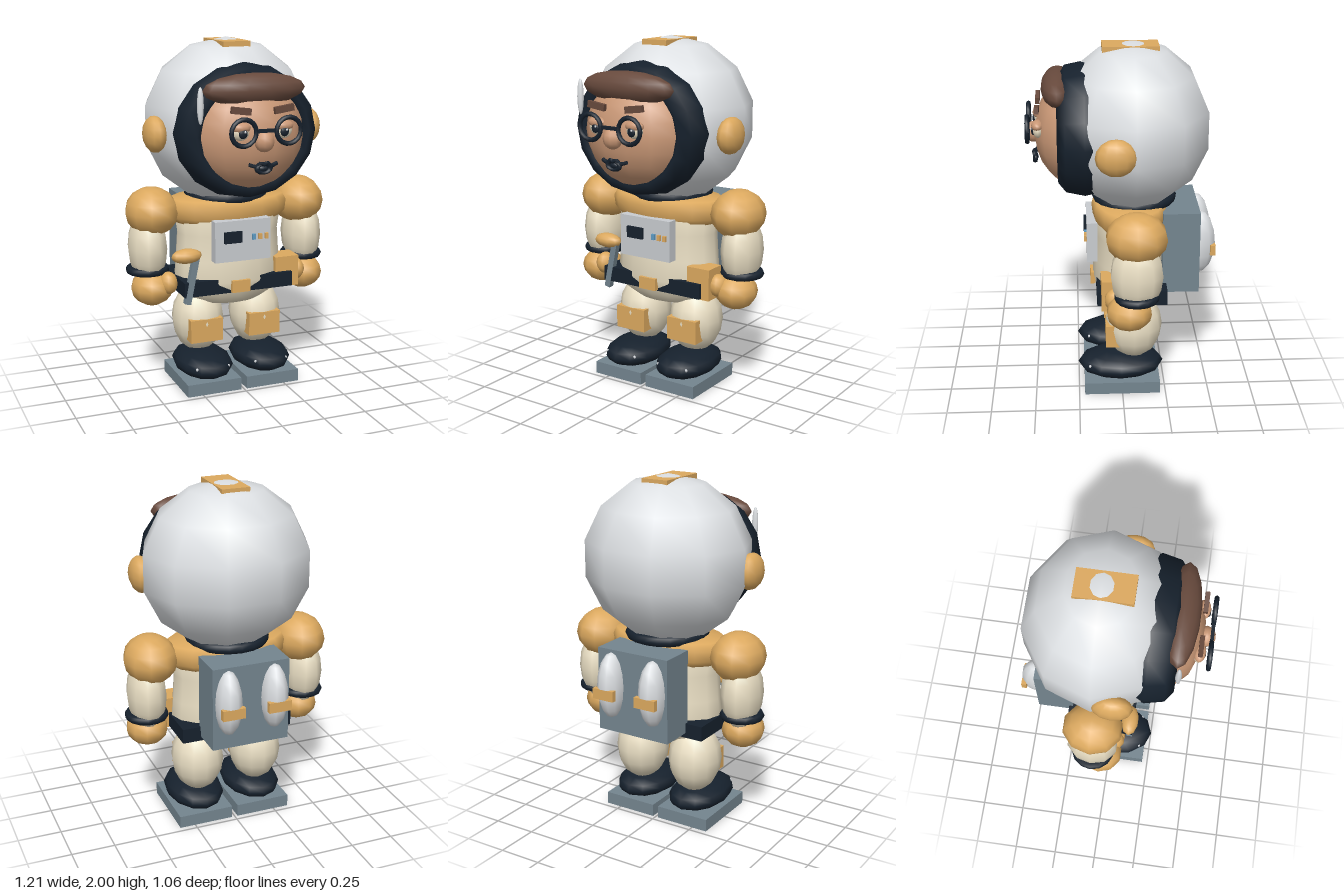
import * as THREE from 'three';

const COLORS = {
  white: 0xdcdfe2, gold: 0xdca95f, cream: 0xeadfc4, dark: 0x16212d,
  steel: 0x74858f, skin: 0xcb9977, brown: 0x684a3d, blue: 0x5f9cc4, panel: 0xc9ccd0,
};
const mats = {};
const mat = (c) => (mats[c] ??= new THREE.MeshStandardMaterial({ color: COLORS[c], side: THREE.DoubleSide }));

export function createModel() {
  const root = new THREE.Group();
  root.name = 'astronaut';

  const add = (name, geo, color, pos, scale = [1, 1, 1], rot = [0, 0, 0]) => {
    const m = new THREE.Mesh(geo, mat(color));
    m.name = name;
    m.position.set(...pos);
    m.scale.set(...scale);
    m.rotation.set(...rot);
    root.add(m);
    return m;
  };
  const ball = (name, color, pos, radii, w = 10, h = 8, rot) =>
    add(name, new THREE.SphereGeometry(1, w, h), color, pos, radii, rot);
  const box = (name, color, pos, size, rot) =>
    add(name, new THREE.BoxGeometry(...size), color, pos, undefined, rot);
  const ring = (name, color, pos, R, r, scale, rot, rs = 8, ts = 20) =>
    add(name, new THREE.TorusGeometry(R, r, rs, ts), color, pos, scale, rot);
  const lathe = (name, color, pts, pos, scale) =>
    add(name, new THREE.LatheGeometry(pts.map((p) => new THREE.Vector2(...p)), 16), color, pos, scale);
  const flat = [Math.PI / 2, 0, 0];

  // Helmet with visor rim, ear caps, crest plate and antenna
  ball('helmet', 'white', [0, 1.53, -0.07], [0.49, 0.47, 0.44], 10, 7);
  ring('visorRim', 'dark', [0, 1.51, 0.2], 0.325, 0.08, [1, 0.92, 1.85], [0, 0, 0], 8, 16);
  box('crestPlate', 'gold', [0, 1.97, -0.055], [0.16, 0.03, 0.31]);
  ball('antenna', 'white', [-0.31, 1.68, 0.36], [0.019, 0.1, 0.017], 8, 8);
  ring('neckRing', 'dark', [0, 1.11, -0.08], 0.21, 0.03, [1, 1, 1], flat);

  // Face
  ball('face', 'skin', [0, 1.5, 0.215], [0.33, 0.32, 0.262], 14, 12);
  ball('hair', 'brown', [0, 1.752, 0.345], [0.295, 0.088, 0.09], 14, 8);
  ball('nose', 'skin', [0, 1.495, 0.482], [0.056, 0.058, 0.05]);
  box('glassesBridge', 'dark', [0, 1.555, 0.51], [0.12, 0.018, 0.018]);

  // Mouth: a small open lip ring under a thin curved lip line
  ring('lips', 'dark', [0, 1.35, 0.475], 0.035, 0.014, [1.1, 0.7, 1], [0, 0, 0], 6, 12);
  const lip = new THREE.CatmullRomCurve3([
    [-0.08, 1.372, 0.465], [-0.04, 1.362, 0.475], [-0.018, 1.38, 0.48], [0, 1.372, 0.482],
    [0.018, 1.38, 0.48], [0.04, 1.362, 0.475], [0.08, 1.372, 0.465],
  ].map((p) => new THREE.Vector3(...p)));
  add('lipLine', new THREE.TubeGeometry(lip, 16, 0.011, 6), 'dark', [0, 0, 0]);
  ball('lipCentre', 'dark', [0, 1.348, 0.47], [0.03, 0.018, 0.014], 8, 6);

  // Torso, shoulder yoke and belt
  lathe('torso', 'cream', [[0, 0.48], [0.2, 0.485], [0.29, 0.54], [0.325, 0.63], [0.315, 0.75],
    [0.305, 0.9], [0.32, 1.0], [0.28, 1.08], [0, 1.09]], [0, 0, -0.05], [1, 1, 0.65]);
  lathe('shoulderYoke', 'gold', [[0, 0.96], [0.32, 0.965], [0.355, 1.0], [0.365, 1.06],
    [0.34, 1.1], [0.2, 1.115], [0, 1.12]], [0, 0, -0.055], [1, 1, 0.6]);
  box('belt', 'dark', [0, 0.61, -0.055], [0.66, 0.085, 0.395]);
  box('buckle', 'gold', [0, 0.61, 0.16], [0.11, 0.07, 0.03]);
  box('pouch', 'gold', [0.307, 0.65, 0.055], [0.145, 0.18, 0.13]);

  // Chest control panel
  box('chestPanel', 'panel', [0, 0.885, 0.165], [0.335, 0.235, 0.06]);
  box('panelScreen', 'dark', [-0.062, 0.91, 0.2], [0.105, 0.065, 0.02]);
  ['blue', 'gold', 'gold'].forEach((c, i) =>
    box('panelButton', c, [0.063 + i * 0.038, 0.903, 0.2], [0.02, 0.032, 0.02]));

  // Hand tool with an angled handle and rounded head
  box('toolHandle', 'steel', [-0.285, 0.66, 0.125], [0.036, 0.27, 0.036], [0, 0, -0.2]);
  ball('toolHead', 'gold', [-0.312, 0.808, 0.125], [0.09, 0.042, 0.05]);

  // Backpack
  box('backpack', 'steel', [0, 0.835, -0.335], [0.45, 0.48, 0.21]);

  // Mirrored parts
  for (const s of [-1, 1]) {
    ball('earCap', 'gold', [s * 0.46, 1.492, 0.04], [0.063, 0.102, 0.112], 12, 8);

    // Eyes, brows and spectacles
    ball('eye', 'cream', [s * 0.122, 1.545, 0.452], [0.05, 0.045, 0.03], 12, 8);
    ball('eyelid', 'skin', [s * 0.122, 1.568, 0.455], [0.056, 0.03, 0.033], 12, 8);
    ball('pupil', 'dark', [s * 0.118, 1.54, 0.478], [0.025, 0.027, 0.012], 10, 6);
    ball('eyeGlint', 'white', [s * 0.118 + 0.008, 1.55, 0.489], [0.007, 0.007, 0.004], 6, 4);
    box('brow', 'brown', [s * 0.122, 1.657, 0.457], [0.11, 0.036, 0.024], [0, 0, s * 0.14]);
    ring('glassesRim', 'dark', [s * 0.127, 1.55, 0.51], 0.07, 0.013, [1, 1, 1], [0, 0, 0], 6, 18);

    // Arm
    ball('shoulder', 'gold', [s * 0.452, 1.035, -0.07], [0.152, 0.14, 0.172], 10, 8);
    ball('arm', 'cream', [s * 0.48, 0.83, -0.07], [0.112, 0.21, 0.148], 10, 8);
    ring('cuff', 'dark', [s * 0.482, 0.7, -0.07], 0.1, 0.025, [1, 1, 0.95], flat, 8, 14);
    ball('glove', 'gold', [s * 0.47, 0.6, -0.03], [0.12, 0.102, 0.128], 10, 8);
    ball('thumb', 'gold', [s * 0.395, 0.638, 0.045], [0.053, 0.065, 0.06], 10, 8);

    // Leg and knee pad
    ball('leg', 'cream', [s * 0.18, 0.375, -0.07], [0.152, 0.205, 0.165], 12, 8);
    box('kneePad', 'gold', [s * 0.18, 0.338, 0.05], [0.195, 0.135, 0.085]);

    // Boot with sole and rivets
    ball('boot', 'dark', [s * 0.18, 0.13, 0.005], [0.167, 0.08, 0.248], 12, 8);
    box('sole', 'steel', [s * 0.18, 0.036, 0], [0.325, 0.072, 0.435]);
    for (const t of [-1, 1])
      ball('bootRivet', 'panel', [s * 0.18 + t * 0.095, 0.145, 0.185], [0.01, 0.01, 0.01], 6, 4);

    // Air tank and clip
    ball('airTank', 'white', [s * 0.135, 0.87, -0.44], [0.076, 0.19, 0.097], 10, 8);
    box('tankClip', 'gold', [s * 0.135, 0.838, -0.517], [0.132, 0.06, 0.03]);
  }
  return root;
}
